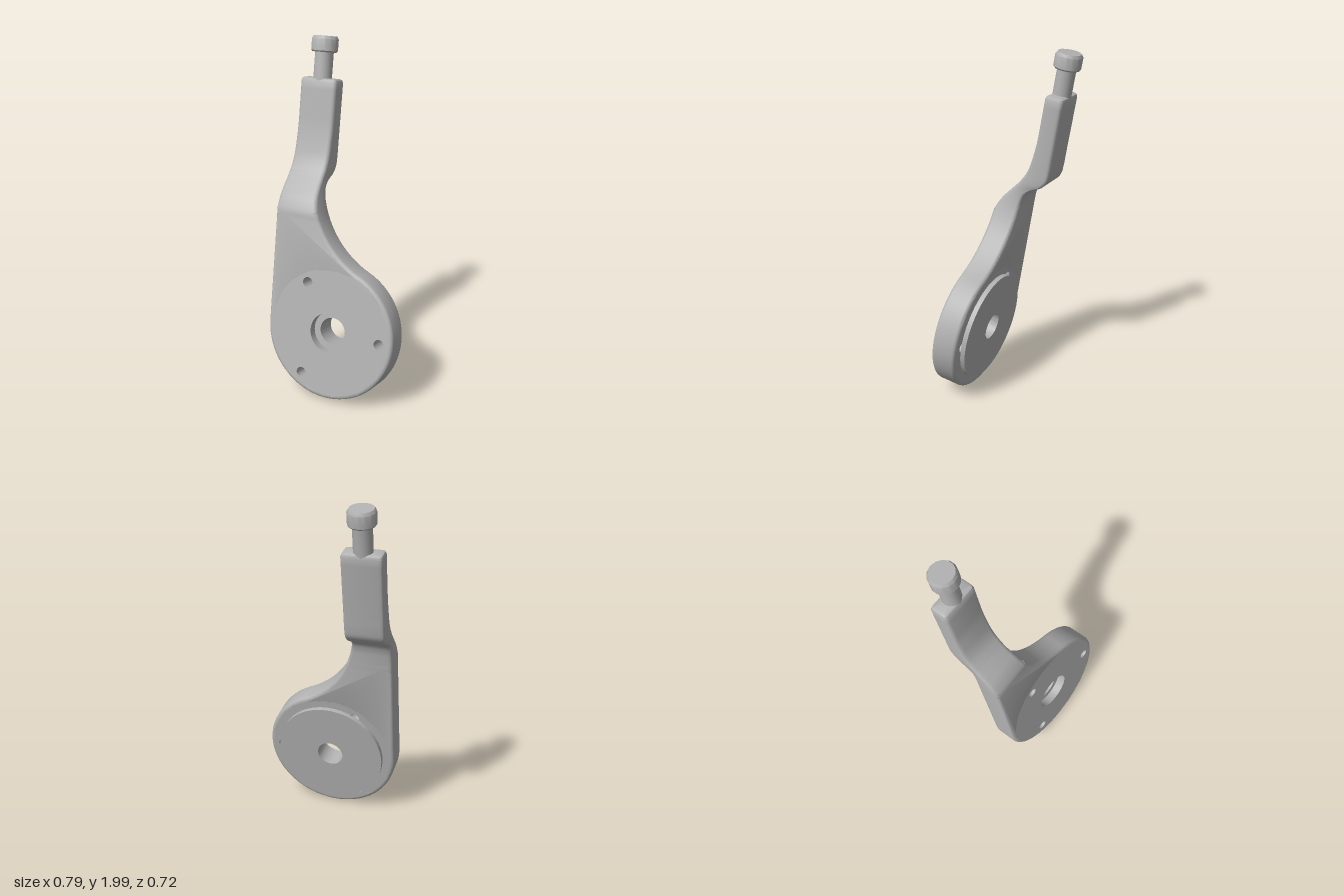
import * as THREE from 'three';
import { toCreasedNormals } from 'three/addons/utils/BufferGeometryUtils.js';

const R = 0.39;          // hub radius; the arm's left edge is tangent to it
const T = 0.15;          // plate thickness
const B = 0.02;          // edge rounding
const ARM_RIGHT = -0.165;
const CUT = 0.68;        // height where the flat plate hands over to the bent arm

// Concave fillet between hub and arm
const A = THREE.MathUtils.degToRad(66);
const FR = (R * Math.cos(A) - ARM_RIGHT) / (1 - Math.cos(A));
const FX = ARM_RIGHT + FR;
const FY = (R + FR) * Math.sin(A);

const rightEdge = (y) => (y < FY ? FX - Math.sqrt(FR * FR - (y - FY) ** 2) : ARM_RIGHT);

// Flat teardrop plate, rounded edges, open in the middle for the hub
function plateGeometry() {
  const s = new THREE.Shape();
  s.moveTo(-R, CUT);
  s.lineTo(-R, 0);
  s.absarc(0, 0, R, Math.PI, 2 * Math.PI + A, false);
  s.absarc(FX, FY, FR, Math.PI + A, Math.PI + Math.asin((FY - CUT) / FR), true);
  s.closePath();
  s.holes.push(new THREE.Path().absarc(0, 0, 0.34, 0, Math.PI * 2, true));
  const g = new THREE.ExtrudeGeometry(s, {
    depth: T - 2 * B, bevelThickness: B, bevelSize: B, bevelOffset: -B,
    bevelSegments: 3, curveSegments: 40,
  });
  g.translate(0, 0, B - T);
  return toCreasedNormals(g, 0.6);
}

// Disc layer from z0 to z1 with a bore and, optionally, three screw holes
function discGeometry(radius, bore, z0, z1, screwHoles) {
  const s = new THREE.Shape().absarc(0, 0, radius, 0, Math.PI * 2, false);
  s.holes.push(new THREE.Path().absarc(0, 0, bore, 0, Math.PI * 2, true));
  for (let i = 0; screwHoles && i < 3; i++) {
    const a = (i * Math.PI * 2) / 3;
    s.holes.push(new THREE.Path().absarc(0.31 * Math.cos(a), 0.31 * Math.sin(a), 0.03, 0, Math.PI * 2, true));
  }
  const g = new THREE.ExtrudeGeometry(s, { depth: z1 - z0, bevelEnabled: false, curveSegments: 32 });
  g.translate(0, 0, z0);
  return toCreasedNormals(g, 0.6);
}

// Bent arm: rounded-rectangle sections lofted upwards
function armGeometry() {
  // height, back z, front z
  const keys = [
    [0.62, -0.15, 0], [0.66, -0.15, 0], [0.71, -0.15, -0.015], [0.75, -0.152, -0.035],
    [0.795, -0.164, -0.066], [0.835, -0.2, -0.095], [0.865, -0.25, -0.115],
    [0.91, -0.282, -0.14], [0.96, -0.288, -0.157], [1.04, -0.288, -0.17],
    [1.13, -0.288, -0.178], [1.22, -0.288, -0.179], [1.38, -0.288, -0.179],
  ].map((k) => new THREE.Vector3(...k));
  const rows = new THREE.CatmullRomCurve3(keys).getPoints(48).map((p) => [p.x, p.y, p.z, 0]);
  rows.push([1.394, -0.288, -0.179, 0.006], [1.4, -0.288, -0.179, 0.018]); // rounded tip

  const pos = [], idx = [], N = 16;
  for (const [y, back, front, inset] of rows) {
    const r = B - inset * 0.8;
    const x0 = -R + inset + r, x1 = rightEdge(y) - inset - r;
    const z0 = back + inset + r, z1 = front - inset - r;
    const corners = [[x1, z1], [x0, z1], [x0, z0], [x1, z0]];
    corners.forEach(([cx, cz], c) => {
      for (let k = 0; k < 4; k++) {
        const a = (c + k / 3) * Math.PI / 2;
        pos.push(cx + r * Math.cos(a), y, cz + r * Math.sin(a));
      }
    });
  }
  for (let j = 0; j < rows.length - 1; j++) {
    for (let i = 0; i < N; i++) {
      const a = j * N + i, c = j * N + (i + 1) % N;
      idx.push(a, a + N, c, c, a + N, c + N);
    }
  }
  // Tip cap
  const last = (rows.length - 1) * N;
  pos.push((ARM_RIGHT - R) / 2, 1.4, -0.2335);
  for (let i = 0; i < N; i++) idx.push(rows.length * N, last + (i + 1) % N, last + i);

  const g = new THREE.BufferGeometry();
  g.setAttribute('position', new THREE.Float32BufferAttribute(pos, 3));
  g.setIndex(idx);
  return toCreasedNormals(g, 0.6);
}

// Turned part around the pin axis from [radius, height] points
function turned(points, sides) {
  const g = new THREE.LatheGeometry(points.map((p) => new THREE.Vector2(...p)), sides);
  return toCreasedNormals(g, 0.6);
}

export function createModel() {
  const metal = new THREE.MeshStandardMaterial({ color: 0xb2b2b2 });
  metal.name = 'grey metal';

  const lever = new THREE.Group();
  lever.name = 'lever';
  const add = (name, geometry, x = 0, y = 0, z = 0) => {
    const m = new THREE.Mesh(geometry, metal);
    m.name = name;
    m.position.set(x, y, z);
    lever.add(m);
  };

  add('plate', plateGeometry());
  add('hubFront', discGeometry(0.365, 0.115, -0.05, 0, true));
  add('hubRear', discGeometry(0.365, 0.077, -T, -0.05, true));
  add('backBoss', discGeometry(0.32, 0.077, -T - 0.028, -T, false));
  add('arm', armGeometry());

  // Pin on the arm tip
  const px = (ARM_RIGHT - R) / 2, pz = -0.2335;
  add('pinStem', turned([[0.053, 1.36], [0.053, 1.56]], 16), px, 0, pz);
  add('pinHead', turned([
    [0, 1.545], [0.07, 1.545], [0.077, 1.553], [0.077, 1.618], [0.067, 1.635], [0, 1.635],
  ], 14), px, 0, pz);

  // The whole lever leans back and turns slightly
  const tilt = THREE.MathUtils.degToRad(-10);
  lever.rotation.set(tilt, tilt, 0, 'YXZ');
  lever.position.set(-0.01, 0.412, 0.27);

  const model = new THREE.Group();
  model.name = 'leverArm';
  model.add(lever);
  return model;
}
